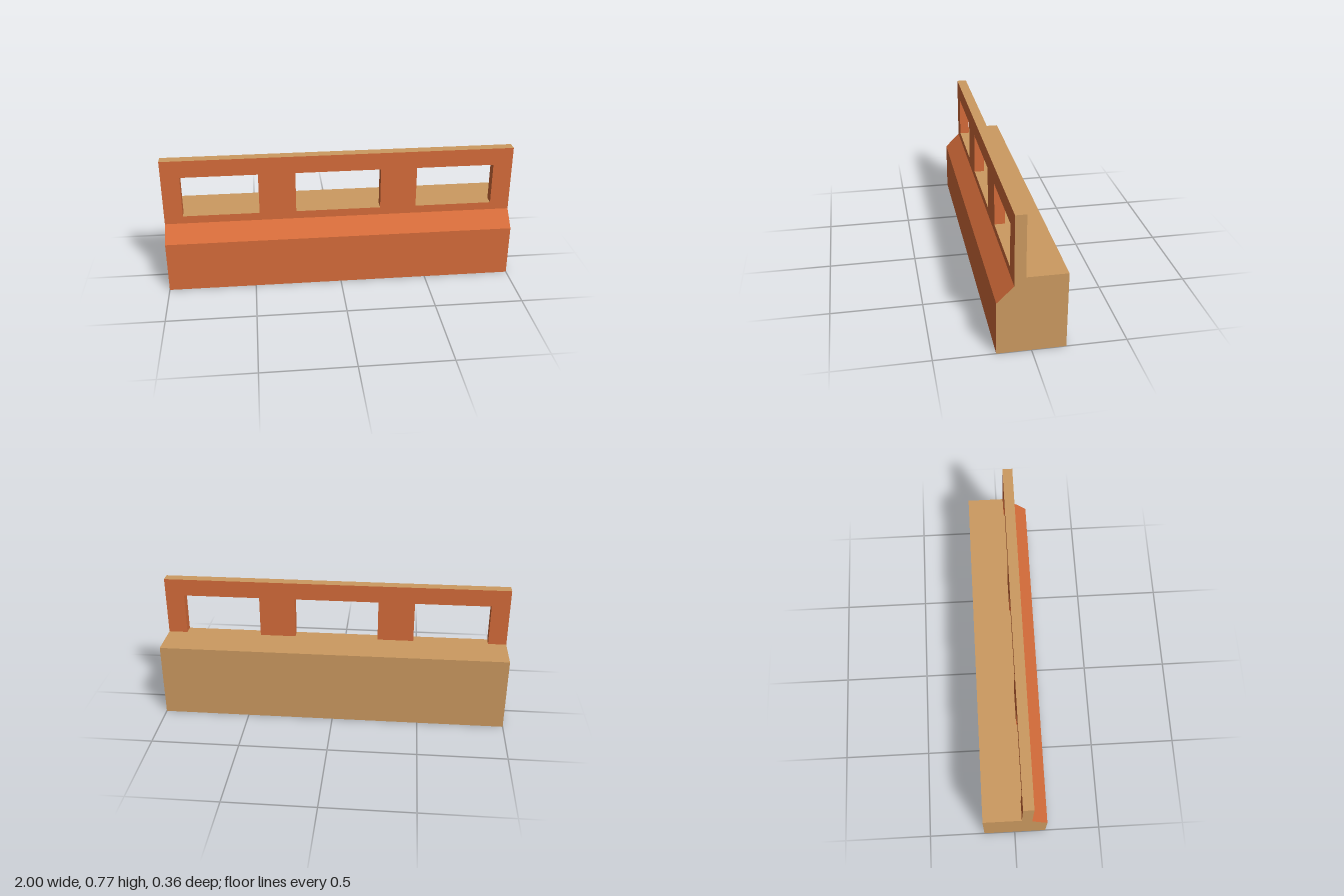
import * as THREE from 'three';

const tan = new THREE.MeshStandardMaterial({ color: 0xcc9a60 });
const orange = new THREE.MeshStandardMaterial({ color: 0xd56c3a });

// Split a solid into a tan and an orange mesh; rule(normal, centre) picks the material, or null to drop a hidden face
function paintedPart(name, geometry, rule) {
  const pos = geometry.toNonIndexed().getAttribute('position');
  const faces = new Map([[tan, []], [orange, []]]);
  const tri = new THREE.Triangle(), normal = new THREE.Vector3(), centre = new THREE.Vector3();
  for (let i = 0; i < pos.count; i += 3) {
    tri.setFromAttributeAndIndices(pos, i, i + 1, i + 2);
    const material = rule(tri.getNormal(normal), tri.getMidpoint(centre));
    if (material) faces.get(material).push(tri.a.clone(), tri.b.clone(), tri.c.clone());
  }
  const group = new THREE.Group();
  group.name = name;
  for (const [material, points] of faces) {
    const g = new THREE.BufferGeometry().setFromPoints(points);
    g.computeVertexNormals();
    const mesh = new THREE.Mesh(g, material);
    mesh.name = name + (material === tan ? 'TanFaces' : 'OrangeFaces');
    group.add(mesh);
  }
  return group;
}

const polygon = (points) => new THREE.Shape(points.map(([x, y]) => new THREE.Vector2(x, y)));

export function createModel() {
  const model = new THREE.Group();
  model.name = 'parapetWall';
  const deck = 0.43, top = 0.77, openingTop = 0.67;

  // Solid base: chamfered (z, y) profile swept along x
  const profile = [[0.18, 0], [0.18, 0.297], [0.092, 0.385], [0.092, deck], [-0.18, deck], [-0.18, 0]];
  const base = new THREE.ExtrudeGeometry(polygon(profile.map(([z, y]) => [-z, y])), { depth: 2, bevelEnabled: false });
  base.rotateY(Math.PI / 2).translate(-1, 0, 0);
  model.add(paintedPart('base', base, (n) => (n.z > 0.5 ? orange : tan)));

  // Upright frame: outline with three openings that reach down to the deck
  const openings = [[-0.895, -0.46], [-0.25, 0.237], [0.445, 0.89]];
  const outline = [[-1, top], [-1, deck]];
  for (const [l, r] of openings) outline.push([l, deck], [l, openingTop], [r, openingTop], [r, deck]);
  outline.push([1, deck], [1, top]);
  const frame = new THREE.ExtrudeGeometry(polygon(outline), { depth: 0.058, bevelEnabled: false });
  frame.translate(0, 0, 0.034);
  model.add(paintedPart('windowFrame', frame, (n, c) => {
    if (n.y < -0.5 && c.y < deck + 0.01) return null;
    return n.y > 0.5 || Math.abs(c.x) > 0.99 && Math.abs(n.x) > 0.5 ? tan : orange;
  }));

  return model;
}
